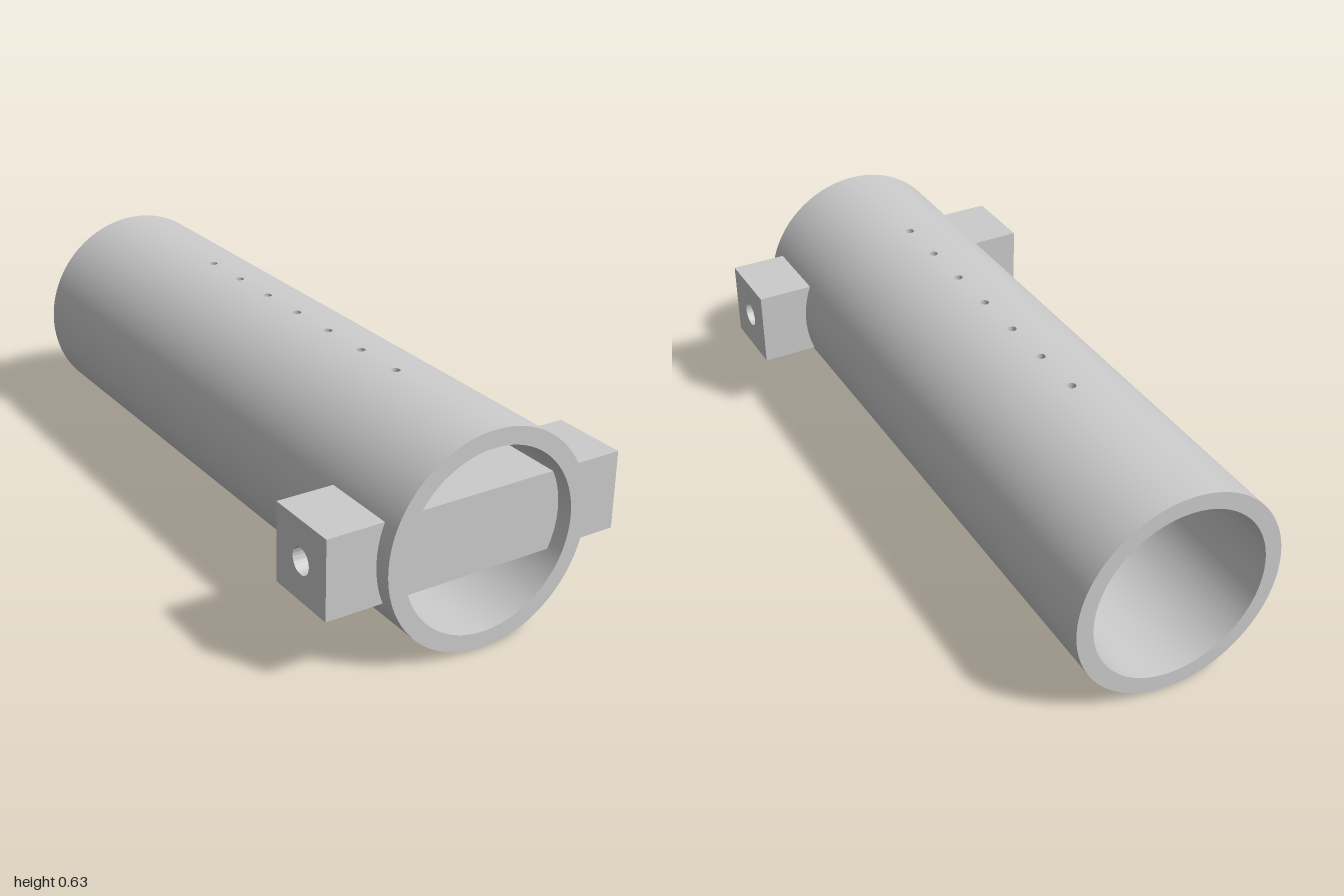
import * as THREE from 'three';
import { toCreasedNormals } from 'three/addons/utils/BufferGeometryUtils.js';

const OUTER = 0.315, INNER = 0.265, CENTER_Y = 0.315, HALF_LENGTH = 1;
const BAR = { half: 0.116, x: 0.463, z: 0.833, bore: 0.038 };
const rad = THREE.MathUtils.degToRad;
const material = new THREE.MeshStandardMaterial({ color: 0xcccccc });

function add(parent, name, geometry) {
  const mesh = new THREE.Mesh(geometry, material);
  mesh.name = name;
  parent.add(mesh);
}

function rectangle(halfW, halfH) {
  return new THREE.Shape([[-halfW, -halfH], [halfW, -halfH], [halfW, halfH], [-halfW, halfH]]
    .map(([x, y]) => new THREE.Vector2(x, y)));
}

function punch(shape, x, y, radius) {
  shape.holes.push(new THREE.Path().absarc(x, y, radius, 0, Math.PI * 2, true));
}

// Sector of the pipe wall; angles in degrees clockwise from the top
function wallSector(from, to, z0 = -HALF_LENGTH, z1 = HALF_LENGTH) {
  const corners = [[INNER, -z1], [OUTER, -z1], [OUTER, -z0], [INNER, -z0], [INNER, -z1]];
  // Doubled corners keep the rims sharp
  const profile = corners.flatMap(([r, y], i) =>
    Array(i % 4 ? 2 : 1).fill(0).map(() => new THREE.Vector2(r, y)));
  const segments = Math.max(1, Math.round((to - from) / 3));
  return new THREE.LatheGeometry(profile, segments, rad(from), rad(to - from))
    .rotateX(-Math.PI / 2).translate(0, CENTER_Y, 0);
}

// Narrow strip of wall with small holes, extruded flat and bent to the pipe's curve
function perforatedStrip(halfAngle) {
  const shape = rectangle(rad(halfAngle) * OUTER, HALF_LENGTH);
  for (let i = 0; i < 7; i++) punch(shape, 0, 0.433 - i / 6, 0.013);
  const geometry = new THREE.ExtrudeGeometry(shape,
    { depth: OUTER - INNER, bevelEnabled: false, curveSegments: 12 });
  const p = geometry.attributes.position, n = geometry.attributes.normal;
  for (let i = 0; i < p.count; i++) {
    const a = p.getX(i) / OUTER, r = INNER + p.getZ(i), s = Math.sin(a), c = Math.cos(a);
    p.setXYZ(i, r * s, CENTER_Y + r * c, -p.getY(i));
    const nx = n.getX(i), nz = n.getZ(i);
    n.setXYZ(i, nx * c + nz * s, nz * c - nx * s, -n.getY(i));
  }
  return geometry;
}

export function createModel() {
  const model = new THREE.Group();
  model.name = 'pipeWithCrossbar';

  const pipe = new THREE.Group();
  pipe.name = 'pipe';
  model.add(pipe);
  const strip = 3.2, side = 10;
  add(pipe, 'perforatedStrip', perforatedStrip(strip));
  add(pipe, 'upperLeftWall', wallSector(strip, 90 - side));
  add(pipe, 'lowerWall', wallSector(90 + side, 270 - side));
  add(pipe, 'upperRightWall', wallSector(270 + side, 360 - strip));
  // Side walls stop inside the crossbar so its bore stays clear
  for (const [name, angle] of [['left', 90], ['right', 270]]) {
    add(pipe, name + 'SideWall', wallSector(angle - side, angle + side, -HALF_LENGTH, BAR.z - 0.07));
    add(pipe, name + 'FrontSideWall', wallSector(angle - side, angle + side, BAR.z + 0.07, HALF_LENGTH));
  }

  // Square crossbar bored from end to end
  const section = rectangle(BAR.half, BAR.half);
  punch(section, 0, 0, BAR.bore);
  const bar = new THREE.ExtrudeGeometry(section,
    { depth: BAR.x * 2, bevelEnabled: false, curveSegments: 40 });
  bar.translate(0, 0, -BAR.x).rotateY(Math.PI / 2).translate(0, CENTER_Y, BAR.z);
  add(model, 'crossbar', toCreasedNormals(bar, 0.6));

  return model;
}
